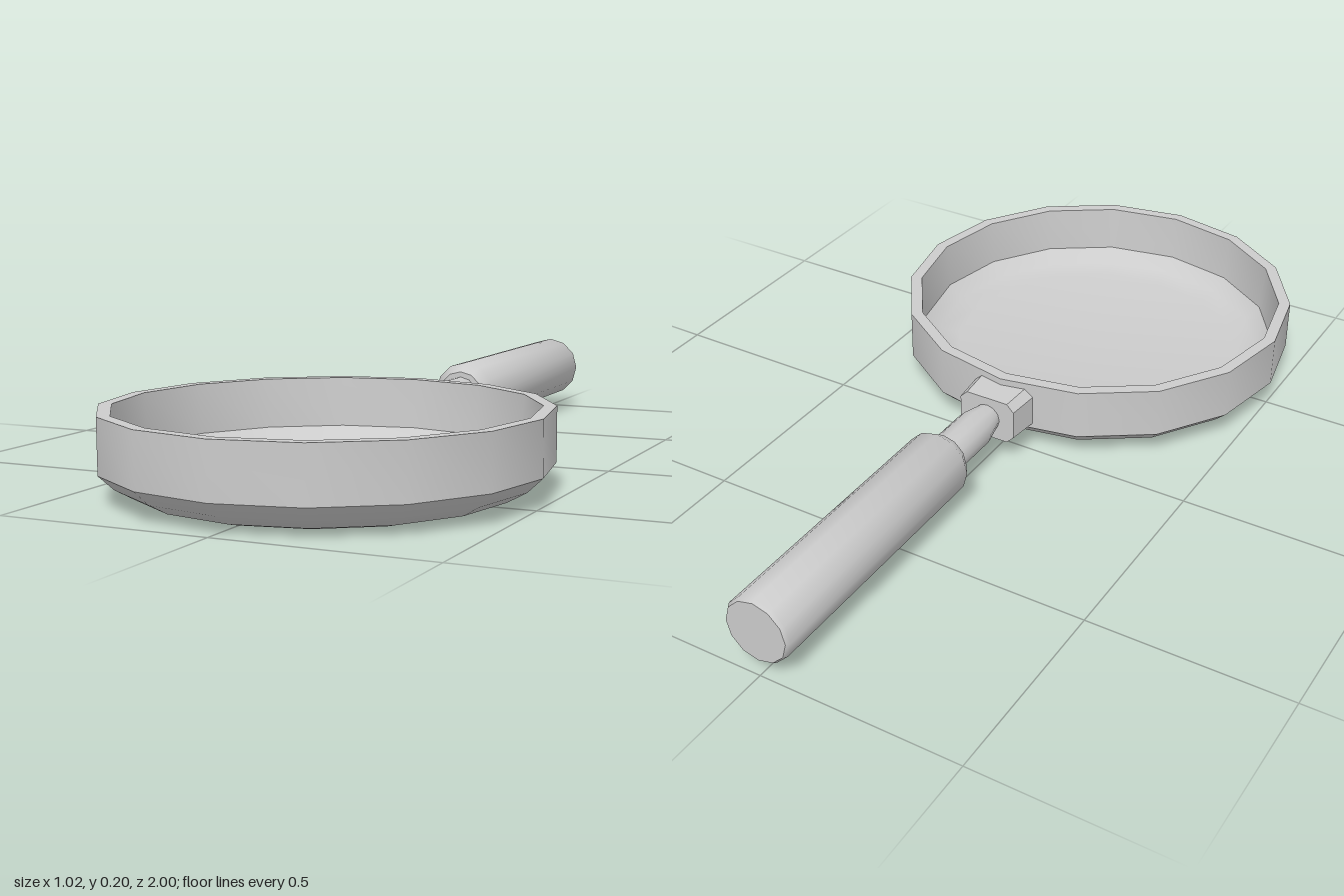
import * as THREE from 'three';
import { toCreasedNormals } from 'three/addons/utils/BufferGeometryUtils.js';

const material = new THREE.MeshStandardMaterial({ color: 0xcccccc });

// Lathe from [radius, height] pairs, with sharp edges kept
function lathe(points, sides) {
  const profile = points.map(([r, h]) => new THREE.Vector2(r, h));
  return new THREE.LatheGeometry(profile, sides);
}

function addPart(group, name, geometry, crease = 0.7) {
  const mesh = new THREE.Mesh(toCreasedNormals(geometry, crease), material);
  mesh.name = name;
  group.add(mesh);
  return mesh;
}

export function createModel() {
  const group = new THREE.Group();
  group.name = 'fryingPan';
  const axisY = 0.12;

  // Sixteen-sided pan: underside, outer wall, rim, inner wall, floor
  const pan = addPart(group, 'pan', lathe([
    [0, 0], [0.39, 0], [0.43, 0.01], [0.475, 0.035], [0.51, 0.068], [0.51, 0.195],
    [0.48, 0.195], [0.472, 0.075], [0.435, 0.042], [0.38, 0.03], [0, 0.03],
  ], 16));
  pan.position.z = 0.49;

  // Bracket: octagonal section, slightly wider where it meets the pan
  const [w, h, c] = [0.08, 0.059, 0.02];
  const section = new THREE.Shape([
    [w, -h + c], [w, h - c], [w - c, h], [-w + c, h],
    [-w, h - c], [-w, -h + c], [-w + c, -h], [w - c, -h],
  ].map(([x, y]) => new THREE.Vector2(x, y)));
  const bracketGeometry = new THREE.ExtrudeGeometry(section, { depth: 0.095, bevelEnabled: false });
  const pos = bracketGeometry.attributes.position;
  for (let i = 0; i < pos.count; i++) {
    const back = pos.getZ(i) < 0.01;
    pos.setX(i, pos.getX(i) * (back ? 0.94 : 1.04));
    pos.setY(i, pos.getY(i) * (back ? 0.94 : 1));
  }
  const bracket = addPart(group, 'bracket', bracketGeometry, 0.5);
  bracket.position.set(0, axisY, -0.085);

  // Neck and grip, turned along the handle axis towards the back
  const neck = addPart(group, 'neck', lathe([
    [0, 0.07], [0.034, 0.07], [0.036, 0.09], [0.048, 0.145], [0.048, 0.285], [0, 0.285],
  ], 12).rotateX(-Math.PI / 2));
  const grip = addPart(group, 'grip', lathe([
    [0, 0.28], [0.062, 0.28], [0.083, 0.31], [0.083, 0.99], [0.077, 1], [0, 1],
  ], 12).rotateX(-Math.PI / 2), 0.85);
  neck.position.y = grip.position.y = axisY;

  return group;
}
